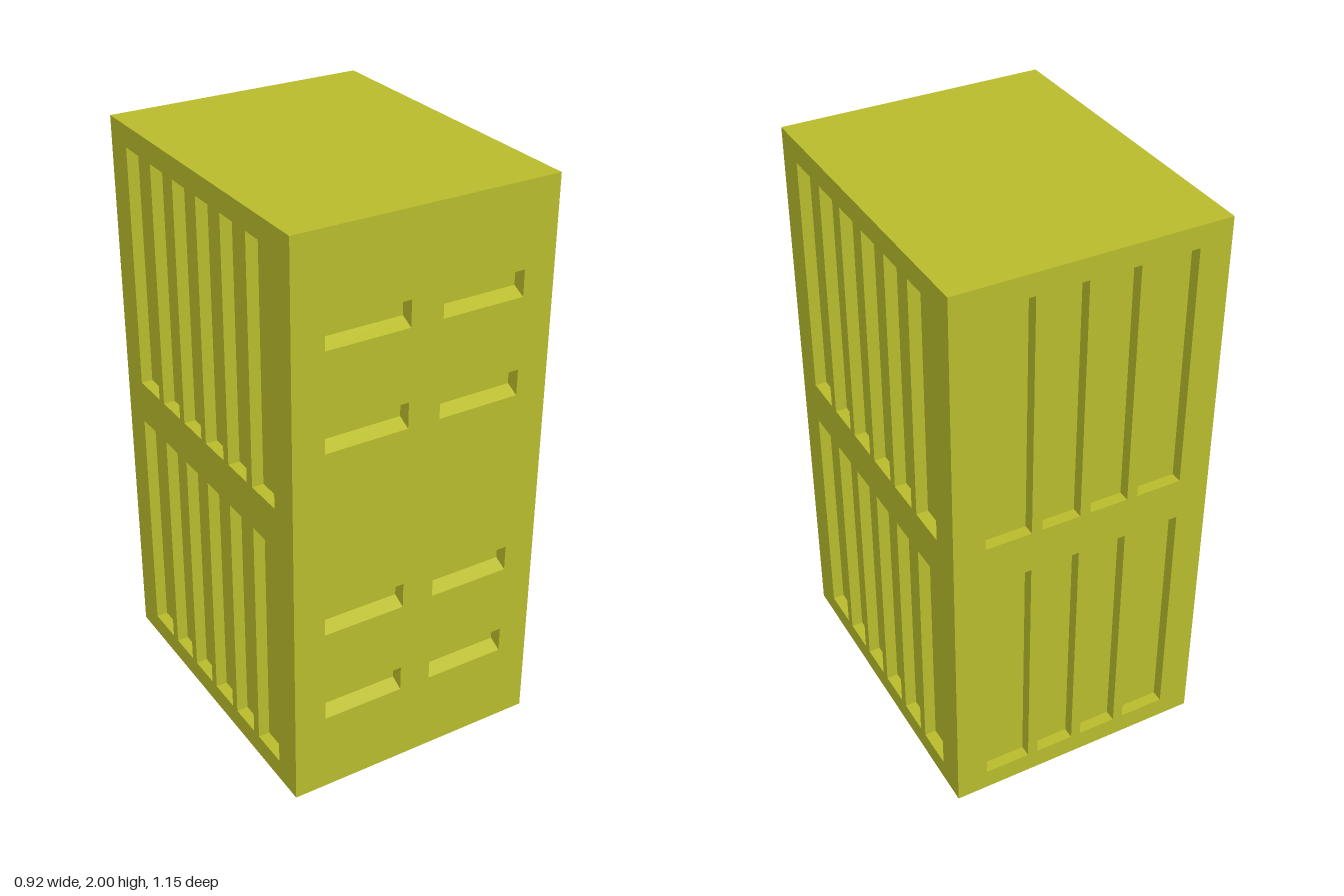
import * as THREE from 'three';
import { mergeGeometries } from 'three/addons/utils/BufferGeometryUtils.js';

const W = 0.92, H = 2, D = 1.15;

// Recessed pocket behind a rectangular opening; slope tapers its top and bottom walls.
function pocketGeometry([x0, x1, y0, y1], depth, slope) {
  const o = [[x0, y0, 0], [x1, y0, 0], [x1, y1, 0], [x0, y1, 0]];
  const i = [[x0, y0 + slope, -depth], [x1, y0 + slope, -depth], [x1, y1 - slope, -depth], [x0, y1 - slope, -depth]];
  const quads = [i];
  for (let k = 0; k < 4; k++) {
    const n = (k + 1) % 4;
    quads.push([o[k], o[n], i[n], i[k]]);
  }
  const pos = [];
  for (const [a, b, c, d] of quads) pos.push(...a, ...b, ...c, ...a, ...c, ...d);
  const g = new THREE.BufferGeometry();
  g.setAttribute('position', new THREE.Float32BufferAttribute(pos, 3));
  g.computeVertexNormals();
  return g;
}

// Flat wall, centred in x and standing on y = 0, with recessed pockets.
function wallGeometry(width, pockets, depth, slope) {
  const h = width / 2;
  const shape = new THREE.Shape([[-h, 0], [h, 0], [h, H], [-h, H]].map(p => new THREE.Vector2(...p)));
  for (const [x0, x1, y0, y1] of pockets) {
    shape.holes.push(new THREE.Path([[x0, y0], [x0, y1], [x1, y1], [x1, y0]].map(p => new THREE.Vector2(...p))));
  }
  const face = new THREE.ShapeGeometry(shape).toNonIndexed();
  face.deleteAttribute('uv');
  return mergeGeometries([face, ...pockets.map(p => pocketGeometry(p, depth, slope))]);
}

const grid = (columns, rows) => rows.flatMap(r => columns.map(c => [...c, ...r]));
const mirrored = columns => [...columns, ...columns.map(([a, b]) => [-b, -a])];

export function createModel() {
  const group = new THREE.Group();
  const olive = new THREE.MeshStandardMaterial({ color: 0xb8bb2c });
  olive.name = 'olive yellow';

  const add = (name, geometry, x, y, z, rx = 0, ry = 0) => {
    const mesh = new THREE.Mesh(geometry, olive);
    mesh.name = name;
    mesh.position.set(x, y, z);
    mesh.rotation.set(rx, ry, 0);
    group.add(mesh);
  };

  // Tall panels in two tiers on the sides and back
  const tiers = [[0.075, 0.925], [1.075, 1.925]];
  const sidePanels = grid(mirrored([[0.016, 0.138], [0.17, 0.291], [0.325, 0.465]]), tiers);
  const backPanels = grid(mirrored([[0.018, 0.153], [0.19, 0.35]]), tiers);
  const side = wallGeometry(D, sidePanels, 0.04, 0);
  add('leftWall', side, W / 2, 0, 0, 0, Math.PI / 2);
  add('rightWall', side, -W / 2, 0, 0, 0, -Math.PI / 2);
  add('backWall', wallGeometry(W, backPanels, 0.04, 0), 0, 0, -D / 2, 0, Math.PI);

  // Front with tapered hand slots
  const slotRows = [0.287, 0.625, 1.287, 1.625].map(y => [y, y + 0.09]);
  const slots = grid(mirrored([[0.057, 0.348]]), slotRows);
  add('frontWall', wallGeometry(W, slots, 0.045, 0.022), 0, 0, D / 2);

  // Lid and base
  const cap = new THREE.PlaneGeometry(W, D);
  add('top', cap, 0, H, 0, -Math.PI / 2);
  add('base', cap, 0, 0, 0, Math.PI / 2);
  return group;
}
